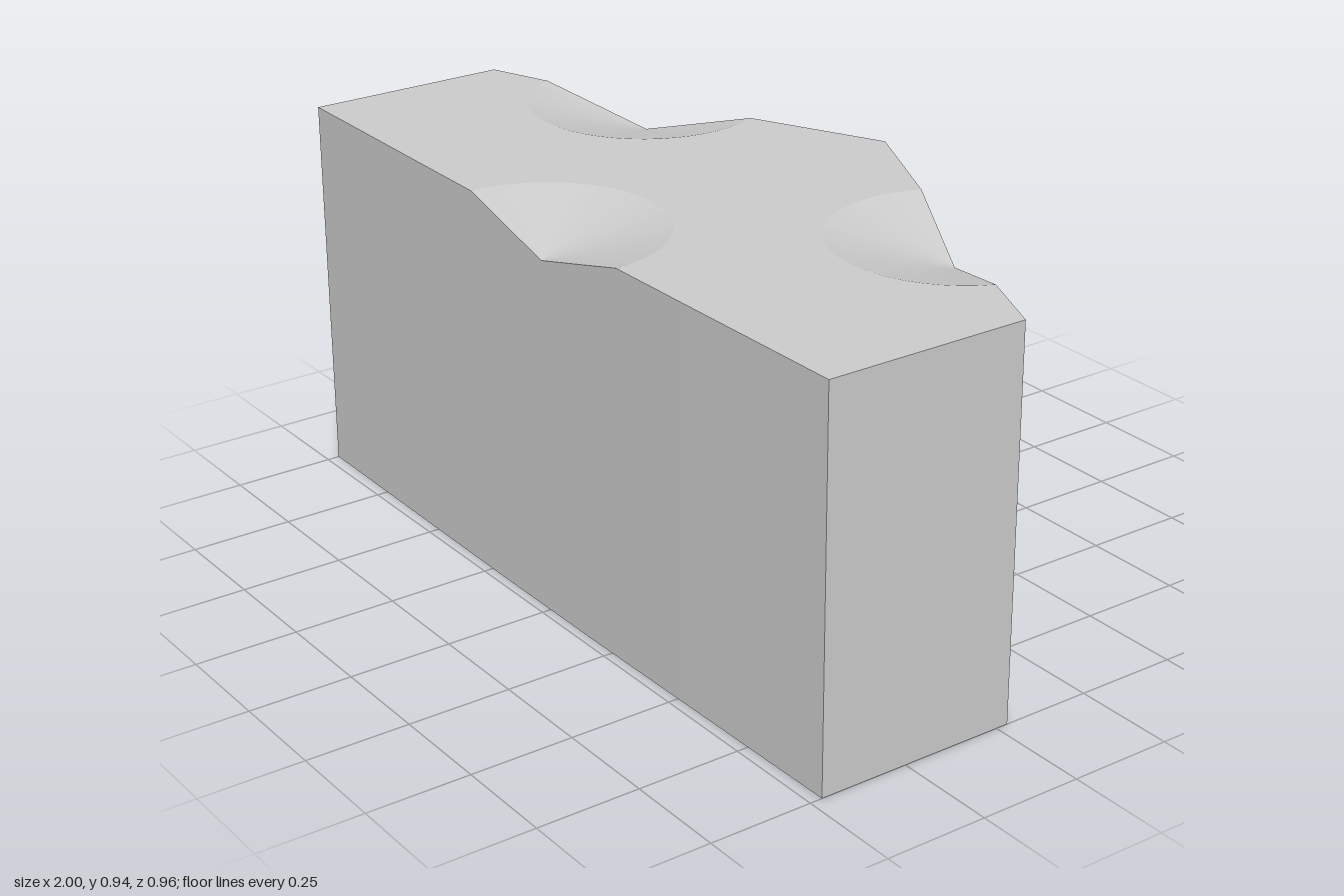
import * as THREE from 'three';

const HEIGHT = 0.935, DEPTH = 0.075, RADIUS = 0.288, ARC_STEPS = 24;
const V = (x, z) => new THREE.Vector2(x, -z); // plan point, seen from above

// Plan outline, counter-clockwise from the front right corner
const outline = [
  V(-1, 0.47), V(-0.53, 0.475), V(-0.17, 0.478), V(0.17, 0.478), V(0.53, 0.475), V(1, 0.47),
  V(1, -0.03), V(0.68, -0.165), V(0, -0.48), V(-0.71, -0.14), V(-1, -0.03),
];

// Each conical dent is centred on one outline edge, at the given x
const dents = [[2, 0], [7, 0.56], [8, -0.58]].map(([edge, x]) => {
  const a = outline[edge], b = outline[edge + 1];
  return a.clone().lerp(b, (x - a.x) / (b.x - a.x));
});

const heightAt = (p) =>
  HEIGHT - DEPTH * Math.max(0, ...dents.map((c) => 1 - p.distanceTo(c) / RADIUS));

// Outline with the dent centres and the rim crossings inserted
function splitOutline() {
  const points = [];
  outline.forEach((a, i) => {
    const b = outline[(i + 1) % outline.length];
    const d = b.clone().sub(a), len = d.length();
    d.normalize();
    const cuts = [0];
    for (const c of dents) {
      const mid = c.clone().sub(a).dot(d);
      const off = a.clone().addScaledVector(d, mid).distanceTo(c);
      if (off >= RADIUS) continue;
      const half = Math.sqrt(RADIUS * RADIUS - off * off);
      cuts.push(mid - half, mid + half);
      if (off < 1e-6) cuts.push(mid);
    }
    cuts.filter((t) => t >= 0 && t < len).sort((s, t) => s - t)
      .forEach((t) => points.push(a.clone().addScaledVector(d, t)));
  });
  return points;
}

// Clockwise rim arc from one wall crossing to the other
function rimArc(c, from, to) {
  const a0 = from.clone().sub(c).angle();
  let a1 = to.clone().sub(c).angle();
  if (a1 > a0) a1 -= Math.PI * 2;
  return Array.from({ length: ARC_STEPS + 1 }, (_, i) => {
    const a = a0 + (a1 - a0) * i / ARC_STEPS;
    return new THREE.Vector2(c.x + RADIUS * Math.cos(a), c.y + RADIUS * Math.sin(a));
  });
}

function makeMesh(name, triangles) {
  const geometry = new THREE.BufferGeometry().setFromPoints(triangles);
  geometry.computeVertexNormals();
  const mesh = new THREE.Mesh(geometry, new THREE.MeshStandardMaterial({ color: 0xcccccc, flatShading: true }));
  mesh.name = name;
  return mesh;
}

export function createModel() {
  const group = new THREE.Group();
  group.name = 'notchedBlock';
  const at = (p, y) => new THREE.Vector3(p.x, y, -p.y);
  const edge = splitOutline();

  // Side walls, following the dents along their upper edge
  const walls = [];
  edge.forEach((a, i) => {
    const b = edge[(i + 1) % edge.length];
    const a0 = at(a, 0), b0 = at(b, 0), a1 = at(a, heightAt(a)), b1 = at(b, heightAt(b));
    walls.push(a0, b0, b1, a0, b1, a1);
  });
  group.add(makeMesh('sideWalls', walls));

  // Top outline with the dents cut away, and a fan of facets for each dent
  const top = [];
  let inside = [];
  edge.forEach((p, i) => {
    const dent = dents.find((c) => p.distanceTo(c) < RADIUS - 1e-5);
    if (!dent) return void top.push(p);
    inside.push(p);
    const next = edge[(i + 1) % edge.length];
    if (next.distanceTo(dent) < RADIUS - 1e-5) return;
    const arc = rimArc(dent, top[top.length - 1], next);
    top.push(...arc.slice(1, -1));
    const loop = [...inside, ...arc.slice().reverse()];
    const fan = [];
    loop.forEach((q, j) => {
      const r = loop[(j + 1) % loop.length];
      if (q.distanceTo(dent) < 1e-6 || r.distanceTo(dent) < 1e-6) return;
      fan.push(at(dent, HEIGHT - DEPTH), at(q, heightAt(q)), at(r, heightAt(r)));
    });
    group.add(makeMesh('conicalDent', fan));
    inside = [];
  });

  // Flat top and underside
  const cap = (loop, y, up) => THREE.ShapeUtils.triangulateShape(loop, [])
    .flatMap((f) => (up ? f : [f[0], f[2], f[1]]).map((k) => at(loop[k], y)));
  group.add(makeMesh('topFace', cap(top, HEIGHT, true)));
  group.add(makeMesh('underside', cap(edge, 0, false)));
  return group;
}
